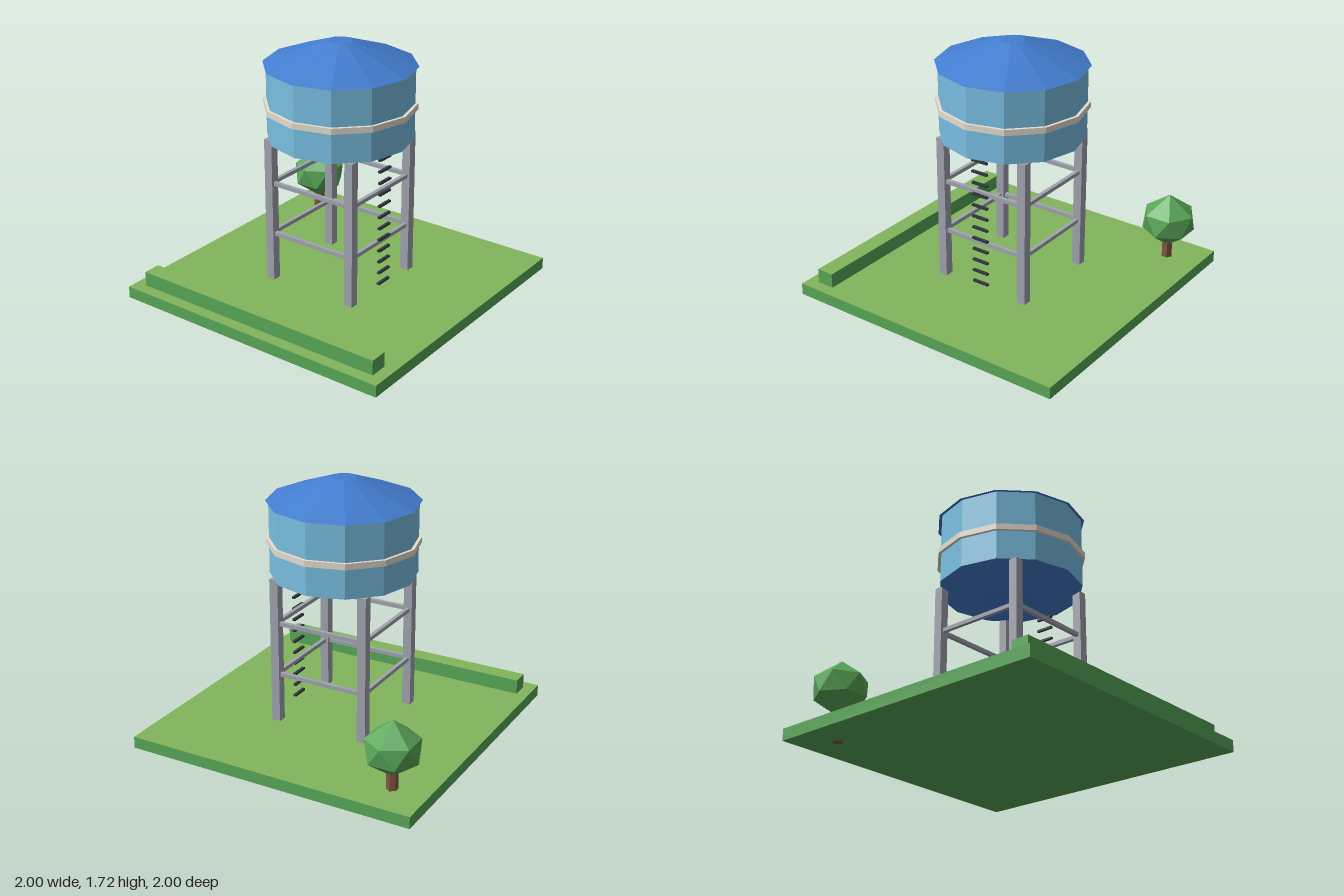
import * as THREE from 'three';
import { ConvexGeometry } from 'three/addons/geometries/ConvexGeometry.js';

const paint = (color) => new THREE.MeshStandardMaterial({ color, flatShading: true });
const grass = paint(0x82b55c);
const leaf = paint(0x58a758);
const steel = paint(0xa0a4ae);
const blue = paint(0x437dd0);
const tankBlue = paint(0x79bfe2);
const cream = paint(0xe6ded0);
const dark = paint(0x33363f);
const bark = paint(0x80573f);

// Leafy sides with a lighter grass top
const lawn = [leaf, leaf, grass, leaf, leaf, leaf];

export function createModel() {
  const model = new THREE.Group();

  const add = (parent, name, geometry, material, x, y, z) => {
    const mesh = new THREE.Mesh(geometry, material);
    mesh.name = name;
    mesh.position.set(x, y, z);
    parent.add(mesh);
    return mesh;
  };
  const box = (parent, name, size, material, x, y, z) =>
    add(parent, name, new THREE.BoxGeometry(...size), material, x, y, z);
  // Twelve-sided drum between two heights
  const drum = (parent, name, rTop, rBottom, y0, y1, material) =>
    add(parent, name, new THREE.CylinderGeometry(rTop, rBottom, y1 - y0, 12), material, 0, (y0 + y1) / 2, 0);
  const group = (name) => {
    const g = new THREE.Group();
    g.name = name;
    model.add(g);
    return g;
  };

  // Ground and hedge
  box(model, 'ground', [2, 0.08, 2], lawn, 0, 0.04, 0);
  box(model, 'hedge', [1.84, 0.1, 0.12], lawn, 0, 0.13, 0.86);

  // Legs and cross beams
  const frame = group('frame');
  const leg = 0.32;
  for (const x of [-leg, leg]) {
    for (const z of [-leg, leg]) box(frame, 'leg', [0.06, 1, 0.06], steel, x, 0.58, z);
  }
  for (const y of [0.414, 0.773]) {
    for (const s of [-leg, leg]) {
      box(frame, 'crossBeam', [2 * leg, 0.026, 0.026], steel, 0, y, s);
      box(frame, 'sideBeam', [0.026, 0.026, 2 * leg], steel, s, y, 0);
    }
  }

  // Ladder rungs on the left side
  const ladder = group('ladder');
  for (let i = 0; i < 12; i++) {
    box(ladder, 'rung', [0.02, 0.014, 0.12], dark, 0.352, 0.128 + i * 0.08, 0);
  }

  // Tank
  const tank = group('tank');
  drum(tank, 'tankBottom', 0.48, 0.2, 1.0, 1.08, blue);
  drum(tank, 'tankWall', 0.48, 0.48, 1.08, 1.565, tankBlue);
  drum(tank, 'band', 0.5, 0.5, 1.28, 1.32, cream);
  drum(tank, 'roof', 0.08, 0.5, 1.565, 1.72, blue);

  // Tree: six-sided trunk, crown of two staggered rings between two tips
  const tree = group('tree');
  tree.position.set(-0.76, 0, -0.76);
  add(tree, 'trunk', new THREE.CylinderGeometry(0.038, 0.038, 0.24, 6), bark, 0, 0.12, 0);
  const points = [new THREE.Vector3(0, 0.19, 0), new THREE.Vector3(0, -0.19, 0)];
  for (let i = 0; i < 6; i++) {
    const a = (i * Math.PI) / 3;
    points.push(new THREE.Vector3(0.175 * Math.sin(a), 0.065, 0.175 * Math.cos(a)));
    points.push(new THREE.Vector3(0.175 * Math.cos(a), -0.065, 0.175 * Math.sin(a)));
  }
  add(tree, 'crown', new ConvexGeometry(points), leaf, 0, 0.355, 0);

  return model;
}
